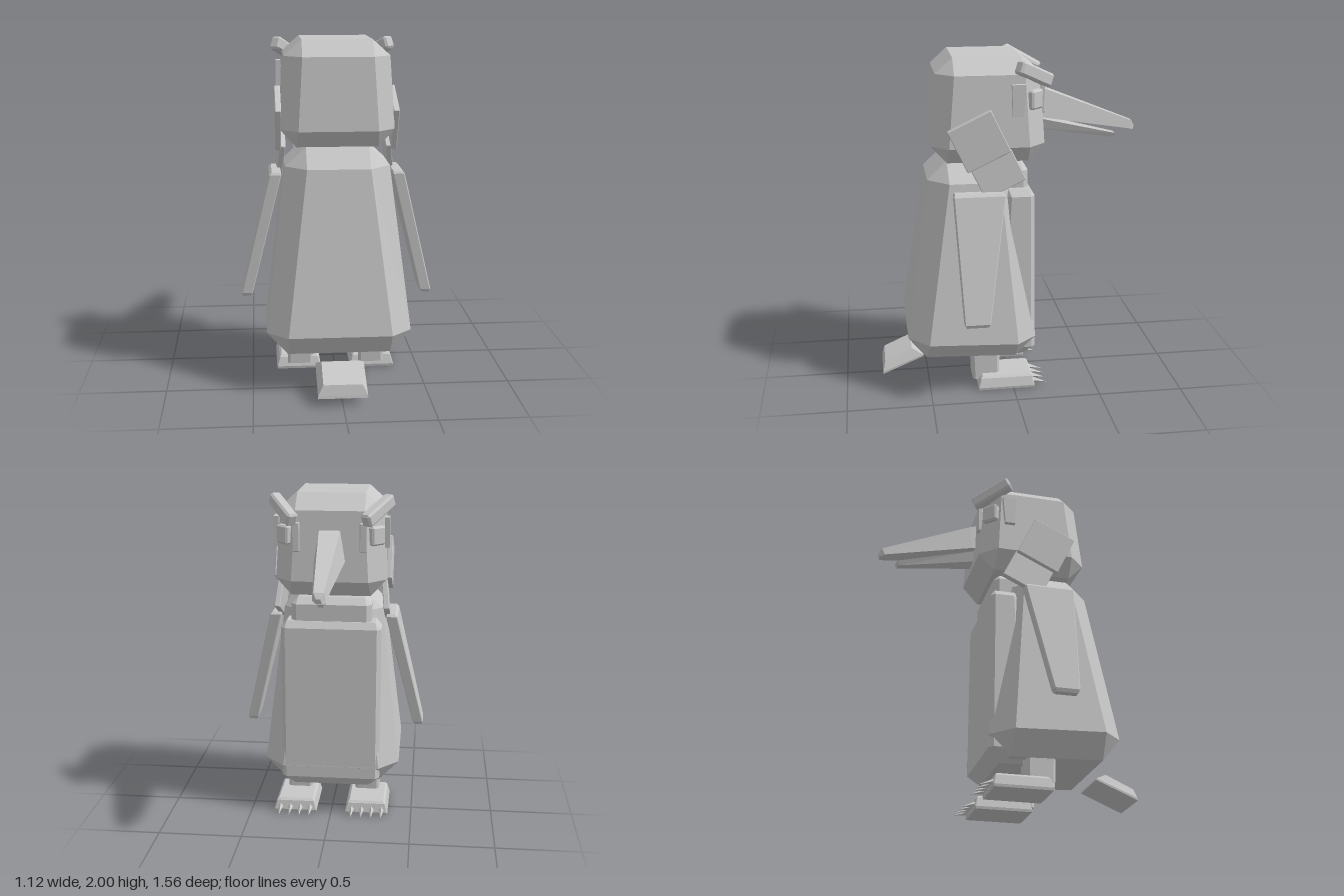
import * as THREE from 'three';

const grey = new THREE.MeshStandardMaterial({ color: 0xc8c8c8 });
grey.name = 'plain grey';

// Level cross-section: rectangle with corners cut by c; y may differ at the z0 and z1 ends.
function ring(y, hx, z0, z1, c = 0, cx = 0, yEnd = y) {
  const at = (x, z) => [cx + x, y + (yEnd - y) * (z - z0) / (z1 - z0), z];
  return [
    at(hx - c, z0), at(hx, z0 + c), at(hx, z1 - c), at(hx - c, z1),
    at(c - hx, z1), at(-hx, z1 - c), at(-hx, z0 + c), at(c - hx, z0),
  ];
}

// Upright trapezoid cross-section, used for the beak
const trapezoid = (z, yLow, yHigh, hLow, hHigh, lean = 0) => [
  [hLow, yLow, z], [hHigh, yHigh, z - lean], [-hHigh, yHigh, z - lean], [-hLow, yLow, z],
];

// Flat-faced solid through matching cross-sections, closed at both ends; faces always point out.
function loft(rings, side = 1) {
  const tris = [];
  const tri = (...t) => {
    const v = t.map(([x, y, z]) => new THREE.Vector3(side * x, y, z));
    const area = v[1].clone().sub(v[0]).cross(v[2].clone().sub(v[0])).length();
    if (area > 1e-8) tris.push(v);
  };
  const n = rings[0].length;
  for (let i = 0; i + 1 < rings.length; i++) {
    for (let j = 0; j < n; j++) {
      const k = (j + 1) % n, a = rings[i], b = rings[i + 1];
      tri(a[j], b[j], b[k]);
      tri(a[j], b[k], a[k]);
    }
  }
  const first = rings[0], last = rings[rings.length - 1];
  for (let j = 1; j + 1 < n; j++) {
    tri(first[0], first[j], first[j + 1]);
    tri(last[0], last[j + 1], last[j]);
  }
  const o = new THREE.Vector3(...first[0]).setX(side * first[0][0]);
  const volume = tris.reduce((s, [a, b, c]) =>
    s + a.clone().sub(o).dot(b.clone().sub(o).cross(c.clone().sub(o))), 0);
  if (volume < 0) tris.forEach((t) => t.reverse());
  const geo = new THREE.BufferGeometry().setFromPoints(tris.flat());
  geo.computeVertexNormals();
  return geo;
}

// Box with bevelled edges, centred on its own origin
function bevelBox(w, h, d, b) {
  return loft([
    ring(-h / 2, w / 2 - b, b - d / 2, d / 2 - b),
    ring(b - h / 2, w / 2, -d / 2, d / 2, b),
    ring(h / 2 - b, w / 2, -d / 2, d / 2, b),
    ring(h / 2, w / 2 - b, b - d / 2, d / 2 - b),
  ]);
}

export function createModel() {
  const model = new THREE.Group();
  model.name = 'penguin';
  const add = (name, geo, pos = [0, 0, 0], rot = [0, 0, 0]) => {
    const mesh = new THREE.Mesh(geo, grey);
    mesh.name = name;
    mesh.position.set(...pos);
    mesh.rotation.set(...rot, 'YXZ');
    model.add(mesh);
  };

  // Head, body, neck and belly
  add('head', loft([
    ring(1.4, 0.235, -0.1, 0.37),
    ring(1.5, 0.325, -0.195, 0.465, 0.1),
    ring(1.91, 0.3, -0.17, 0.43, 0.1),
    ring(2, 0.2, -0.06, 0.33),
  ]));
  add('body', loft([
    ring(0.2, 0.295, -0.02, 0.52, 0, 0, 0.22),
    ring(0.32, 0.415, -0.14, 0.625, 0.12, 0, 0.35),
    ring(1.29, 0.3, -0.05, 0.485, 0.12),
    ring(1.4, 0.18, 0.06, 0.37),
  ]));
  add('neck', loft([
    ring(1.2, 0.24, -0.1, 0.12, 0.03),
    ring(1.34, 0.24, -0.1, 0.12, 0.03),
    ring(1.38, 0.2, -0.06, 0.1),
  ]));
  add('belly', loft([
    ring(0.18, 0.23, -0.07, 0.07),
    ring(0.25, 0.3, -0.14, 0.08, 0.025),
    ring(1.2, 0.3, -0.132, 0.03, 0.025),
    ring(1.24, 0.265, -0.105, 0.02),
  ]));

  // Beak
  add('upperBeak', loft([
    trapezoid(-0.17, 1.625, 1.8, 0.09, 0.06),
    trapezoid(-0.2, 1.62, 1.785, 0.09, 0.06, 0.02),
    trapezoid(-0.745, 1.525, 1.572, 0.037, 0.028, 0.015),
    trapezoid(-0.772, 1.515, 1.54, 0.018, 0.012, 0.008),
  ]));
  add('lowerBeak', loft([
    trapezoid(-0.17, 1.55, 1.615, 0.05, 0.07),
    trapezoid(-0.645, 1.472, 1.498, 0.02, 0.03, 0.015),
    trapezoid(-0.66, 1.466, 1.486, 0.012, 0.018, 0.01),
  ]));

  // Tail wedge
  const tailRing = (h, back, front) => [
    [h, ...back], [h, ...front], [-h, ...front], [-h, ...back],
  ];
  add('tail', loft([
    tailRing(0.14, [0.05, 0.78], [0.155, 0.53]),
    tailRing(0.14, [0.065, 0.778], [0.165, 0.533]),
    tailRing(0.11, [0.125, 0.765], [0.2, 0.6]),
  ]));

  for (const s of [1, -1]) {
    const side = s > 0 ? 'left' : 'right';

    // Flipper
    add(side + 'Flipper', loft([
      ring(0.505, 0.022, 0.175, 0.3, 0, 0.53),
      ring(0.525, 0.033, 0.162, 0.312, 0.006, 0.527),
      ring(1.235, 0.035, 0.052, 0.35, 0.006, 0.355),
      ring(1.25, 0.025, 0.065, 0.34, 0, 0.35),
    ], s));

    // Cheek plates
    add(side + 'CheekPlate', bevelBox(0.035, 0.265, 0.275, 0.004), [s * 0.335, 1.545, 0.197], [0.447, 0, 0]);
    add(side + 'LowerCheekPlate', bevelBox(0.035, 0.2, 0.26, 0.004), [s * 0.318, 1.35, 0.088], [0.447, 0, s * 0.1]);

    // Brow and eye
    add(side + 'Brow', bevelBox(0.068, 0.078, 0.26, 0.012), [s * 0.275, 1.91, -0.125], [-0.41, s * 0.6, 0]);
    add(side + 'Eye', bevelBox(0.1, 0.11, 0.05, 0.01), [s * 0.268, 1.765, -0.13], [0, -s * Math.PI / 4, 0]);
    add(side + 'EyeSideStrip', loft([
      ring(1.68, 0.015, -0.055, 0.005, 0, 0.325),
      ring(1.86, 0.015, -0.07, 0.01, 0, 0.325),
    ], s));
    add(side + 'EyeFrontStrip', bevelBox(0.045, 0.17, 0.03, 0.005), [s * 0.195, 1.76, -0.185]);

    // Leg, foot and claws
    add(side + 'Leg', loft([
      ring(0.05, 0.075, 0.08, 0.24, 0.015, 0.215),
      ring(0.3, 0.075, 0.075, 0.25, 0.015, 0.215),
    ], s));
    add(side + 'Foot', loft([
      ring(0.005, 0.13, -0.125, 0.21, 0, 0.222),
      ring(0.02, 0.133, -0.13, 0.213, 0.005, 0.222),
      ring(0.075, 0.118, -0.118, 0.198, 0.005, 0.222),
      ring(0.088, 0.105, -0.105, 0.185, 0, 0.222),
    ], s));
    for (let i = 0; i < 4; i++) {
      const x = s * (0.13 + i * 0.062);
      const claw = new THREE.ConeGeometry(0.018, 0.1, 4).toNonIndexed();
      claw.computeVertexNormals();
      add(side + 'Claw' + (i + 1), claw, [x, 0.03, -0.16], [-Math.PI / 2 - 0.25, 0, 0]);
    }
  }
  return model;
}
